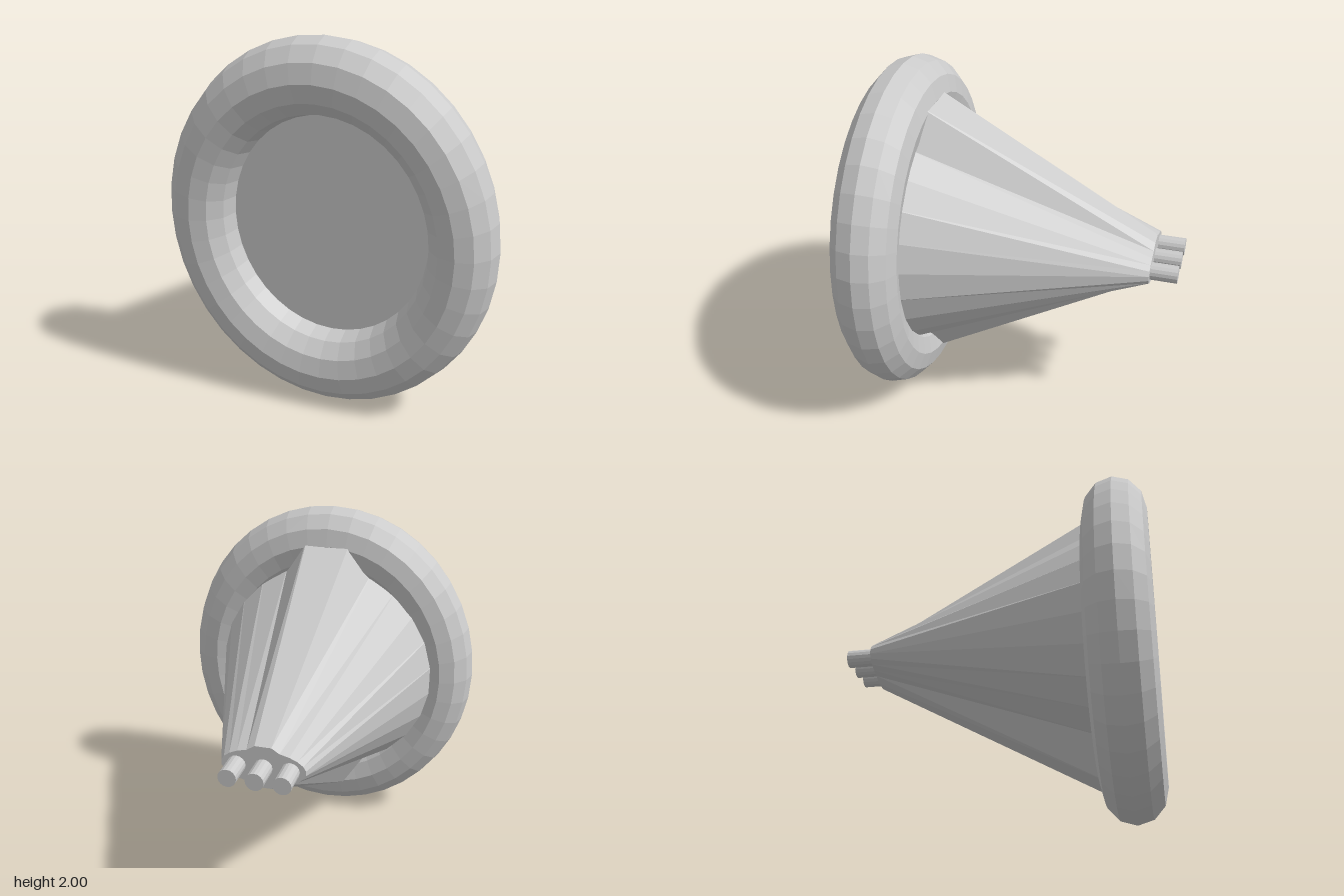
import * as THREE from 'three';

const material = new THREE.MeshStandardMaterial({ color: 0xcccccc, flatShading: true });

// Outline of the housing: an ellipse with a flat-topped ridge above and below.
function section(z, rx, ry, ridgeHeight, ridgeHalfWidth) {
  const points = [];
  for (const side of [1, -1]) {
    for (let i = 0; i <= 9; i++) {
      const a = THREE.MathUtils.degToRad(-67.5 + i * 15);
      points.push(new THREE.Vector3(side * rx * Math.cos(a), side * ry * Math.sin(a), z));
    }
    for (const s of [1, -1]) {
      points.push(new THREE.Vector3(side * s * ridgeHalfWidth, side * ridgeHeight, z));
    }
  }
  return points;
}

// Joins two outlines with flat faces and closes both ends.
function loft(back, front) {
  const corners = [];
  const n = back.length;
  const backCentre = new THREE.Vector3(0, 0, back[0].z);
  const frontCentre = new THREE.Vector3(0, 0, front[0].z);
  for (let i = 0; i < n; i++) {
    const j = (i + 1) % n;
    corners.push(back[i], back[j], front[j], back[i], front[j], front[i]);
    corners.push(backCentre, back[j], back[i], frontCentre, front[i], front[j]);
  }
  const geometry = new THREE.BufferGeometry().setFromPoints(corners);
  geometry.computeVertexNormals();
  return geometry;
}

export function createModel() {
  const model = new THREE.Group();
  model.name = 'funnelHorn';

  function add(name, geometry, x, y, z) {
    const mesh = new THREE.Mesh(geometry, material);
    mesh.name = name;
    mesh.position.set(x, y, z);
    model.add(mesh);
    return mesh;
  }

  // Oval rim around the front opening
  const rim = new THREE.TorusGeometry(0.8, 0.2, 12, 40);
  rim.scale(0.9, 1, 0.9);
  add('rim', rim, 0, 1, 0.705);

  // Tapered housing; its closed front is the panel inside the rim
  const back = section(-0.735, 0.23, 0.1, 0.12, 0.045);
  const front = section(0.7, 0.718, 0.72, 0.89, 0.14);
  add('housing', loft(back, front), 0, 1, 0);

  // Row of three pins on the narrow end
  for (const x of [-0.145, 0, 0.145]) {
    const pin = new THREE.CylinderGeometry(0.05, 0.05, 0.2, 16);
    pin.rotateX(Math.PI / 2);
    add('pin', pin, x, 1, -0.785);
  }

  return model;
}
